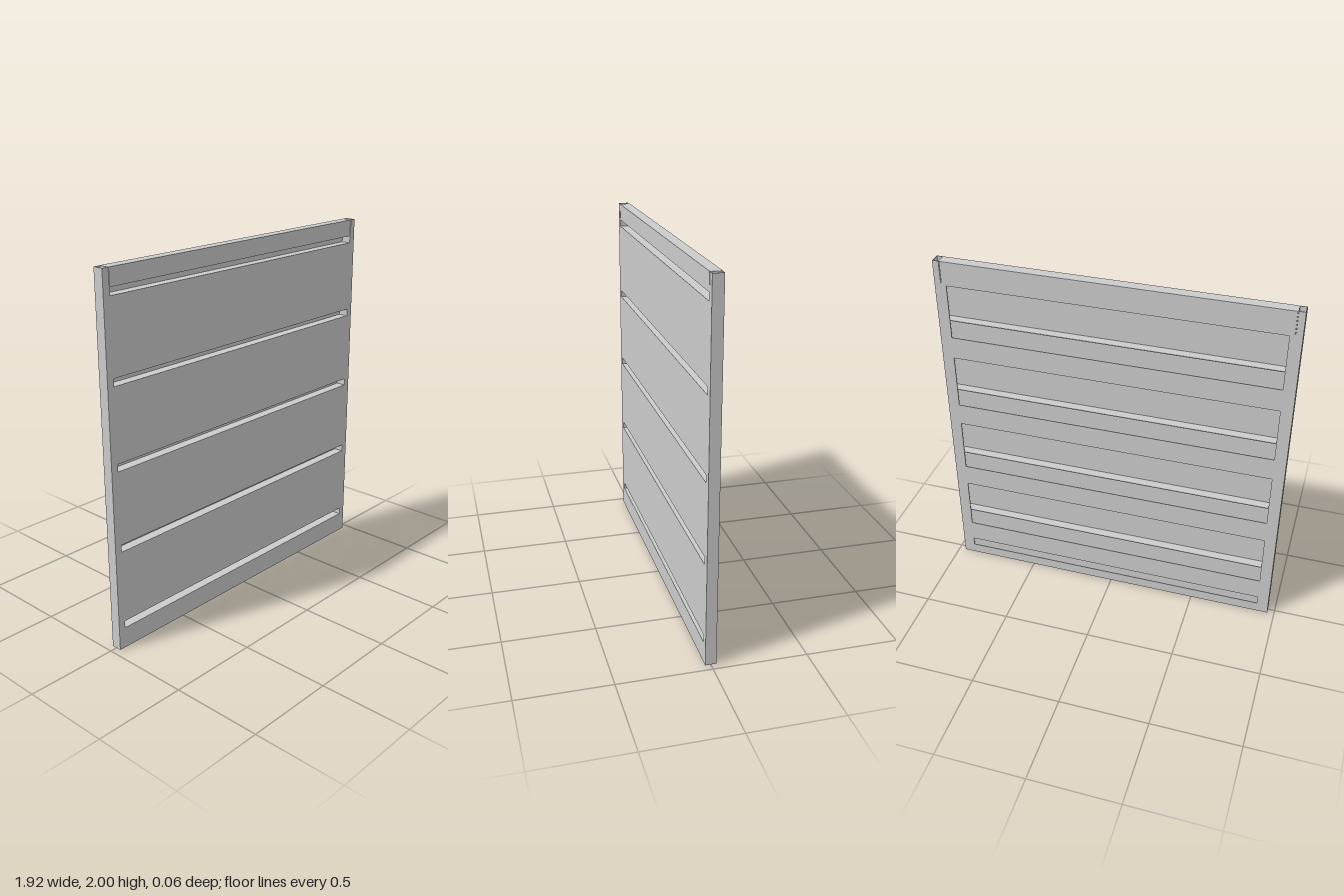
import * as THREE from 'three';

const W = 0.96, H = 2, D = 0.029, T = 0.004; // half width, height, half depth, sheet gauge
const INNER = 0.92, PITCH = 0.438;
const mat = new THREE.MeshStandardMaterial({ color: 0xcccccc, flatShading: true, side: THREE.DoubleSide });

function rectPath(x0, y0, x1, y1) {
  return new THREE.Path([[x0, y0], [x0, y1], [x1, y1], [x1, y0]].map(p => new THREE.Vector2(...p)));
}

function add(parent, name, geometry, x = 0, y = 0, z = 0) {
  const mesh = new THREE.Mesh(geometry, mat);
  mesh.name = name;
  mesh.position.set(x, y, z);
  parent.add(mesh);
  return mesh;
}

// Sheet with horizontal openings [bottom, top] and two relief slits cut from the top edge
function sheet(openings, halfOpening, slitBottom) {
  const a = INNER, b = INNER + 0.005;
  const outline = [[-W, 0], [W, 0], [W, H], [b, H], [b, slitBottom], [a, slitBottom], [a, H],
    [-a, H], [-a, slitBottom], [-b, slitBottom], [-b, H], [-W, H]];
  const shape = new THREE.Shape(outline.map(p => new THREE.Vector2(...p)));
  for (const [y0, y1] of openings) shape.holes.push(rectPath(-halfOpening, y0, halfOpening, y1));
  return new THREE.ExtrudeGeometry(shape, { depth: T, bevelEnabled: false });
}

export function createModel() {
  const root = new THREE.Group();
  root.name = 'slottedPanel';
  const slots = [], windows = [];
  const shelfDepth = 2 * (D - T);

  for (let i = 0; i < 5; i++) {
    const y = 0.115 + i * PITCH; // lower lip of each slot
    slots.push([y, y + 0.04]);
    windows.push([i === 0 ? 0.06 : y - 0.315, y - 0.005]);

    // Lip folded back from the lower edge of each slot
    add(root, 'slotLip', new THREE.BoxGeometry(2 * INNER, T, shelfDepth), 0, y - T / 2, 0);
    // Stiffening rib across each tall rear window
    if (i > 0) add(root, 'stiffenerRib', new THREE.BoxGeometry(2 * INNER, T, shelfDepth), 0, y - 0.212, 0);
  }

  add(root, 'frontSheet', sheet(slots, INNER, 1.915), 0, 0, D - T);
  add(root, 'rearSheet', sheet(windows, 0.895, 1.875), 0, 0, -D);

  // Closed top and bottom edges; the side channels stay open at the top
  add(root, 'topCap', new THREE.BoxGeometry(2 * INNER, T, shelfDepth), 0, H - T / 2, 0);
  add(root, 'bottomCap', new THREE.BoxGeometry(2 * (W - T), T, shelfDepth), 0, T / 2, 0);

  // Rear flange hanging down from the top cap
  add(root, 'topFlange', new THREE.BoxGeometry(2 * INNER, 0.13, 0.002), 0, H - 0.065, -D - 0.001);

  // Side channels: outer wall and inner wall
  for (const s of [-1, 1]) {
    add(root, 'sideWall', new THREE.BoxGeometry(T, H, shelfDepth), s * (W - T / 2), H / 2, 0);
    add(root, 'channelInnerWall', new THREE.BoxGeometry(T, H - T, shelfDepth), s * (INNER + T / 2), H / 2 + T / 2, 0);
  }
  return root;
}
